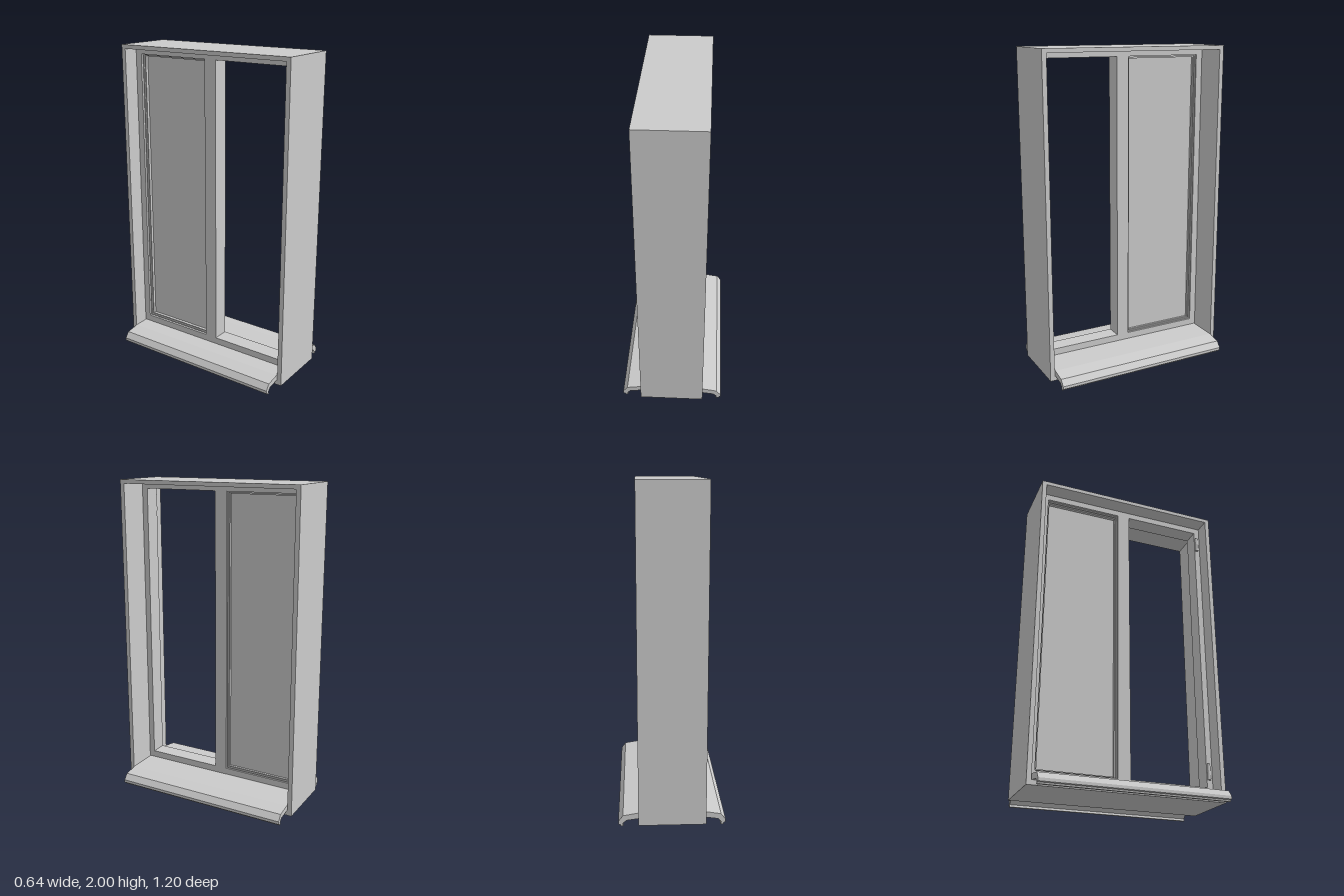
import * as THREE from 'three';

const material = new THREE.MeshStandardMaterial({ color: 0xcccccc, flatShading: true });

function addMesh(parent, name, geometry) {
  const mesh = new THREE.Mesh(geometry, material);
  mesh.name = name;
  parent.add(mesh);
  return mesh;
}

// Rectangle path in (z, y)
function rect(path, z0, z1, y0, y1) {
  path.moveTo(z0, y0);
  path.lineTo(z1, y0);
  path.lineTo(z1, y1);
  path.lineTo(z0, y1);
  path.closePath();
  return path;
}

// Flat frame with rectangular openings, drawn in (z, y) and thick from x0 to x1
function frameGeometry(outer, holes, x0, x1) {
  const shape = rect(new THREE.Shape(), ...outer);
  for (const h of holes) shape.holes.push(rect(new THREE.Path(), ...h));
  const geometry = new THREE.ExtrudeGeometry(shape, { depth: x1 - x0, bevelEnabled: false });
  // shape x -> +z, extrusion -> -x
  return geometry.rotateY(-Math.PI / 2).translate(x1, 0, 0);
}

export function createModel() {
  const model = new THREE.Group();
  model.name = 'window';

  // Deep surrounding casing
  addMesh(model, 'casing', frameGeometry(
    [-0.6, 0.6, 0.017, 2], [[-0.572, 0.572, 0.045, 1.975]], -0.2, 0.2));

  // Fixed window frame with two openings and a central mullion
  const open = [0.04, 0.535, 0.125, 1.937];
  const closed = [-0.53, -0.04, 0.125, 1.937];
  addMesh(model, 'windowFrame', frameGeometry(
    [-0.572, 0.572, 0.045, 1.975], [open, closed], -0.1, 0.005));

  // Closed sash: stepped beads round a recessed pane
  const [z0, z1, y0, y1] = closed;
  const inset = (d) => [z0 + d, z1 - d, y0 + d, y1 - d];
  addMesh(model, 'sashRim', frameGeometry(inset(0), [inset(0.007)], -0.085, -0.005));
  addMesh(model, 'sashBead', frameGeometry(inset(0.007), [inset(0.014)], -0.075, -0.015));
  addMesh(model, 'pane', frameGeometry(inset(0.014), [], -0.055, -0.03));

  // Sills with a drip nose, one on each side
  const profile = [
    [0, 0.045], [0.2, 0.045], [0.272, 0.035], [0.293, 0.014], [0.288, 0], [0.304, 0],
    [0.306, 0.009], [0.318, 0.012], [0.318, 0.03], [0.29, 0.066], [0.2, 0.081], [0, 0.083],
  ];
  for (const [name, side, inner] of [['sillLeft', 1, 0], ['sillRight', -1, 0.095]]) {
    const points = profile.map(([x, y]) => new THREE.Vector2(side * Math.max(x, inner), y));
    const geometry = new THREE.ExtrudeGeometry(new THREE.Shape(points),
      { depth: 1.136, bevelEnabled: false });
    addMesh(model, name, geometry.translate(0, 0, -0.568));
  }

  // Hinges left on the empty opening's outer jamb
  for (const y of [0.22, 1.84]) {
    const hinge = new THREE.Group();
    hinge.name = 'hinge';
    hinge.position.set(-0.104, y, 0.548);
    addMesh(hinge, 'hingeKnuckle', new THREE.CylinderGeometry(0.01, 0.01, 0.1, 12));
    addMesh(hinge, 'hingeLeaf', new THREE.BoxGeometry(0.006, 0.08, 0.022))
      .position.set(0.002, 0, 0.006);
    model.add(hinge);
  }

  return model;
}
